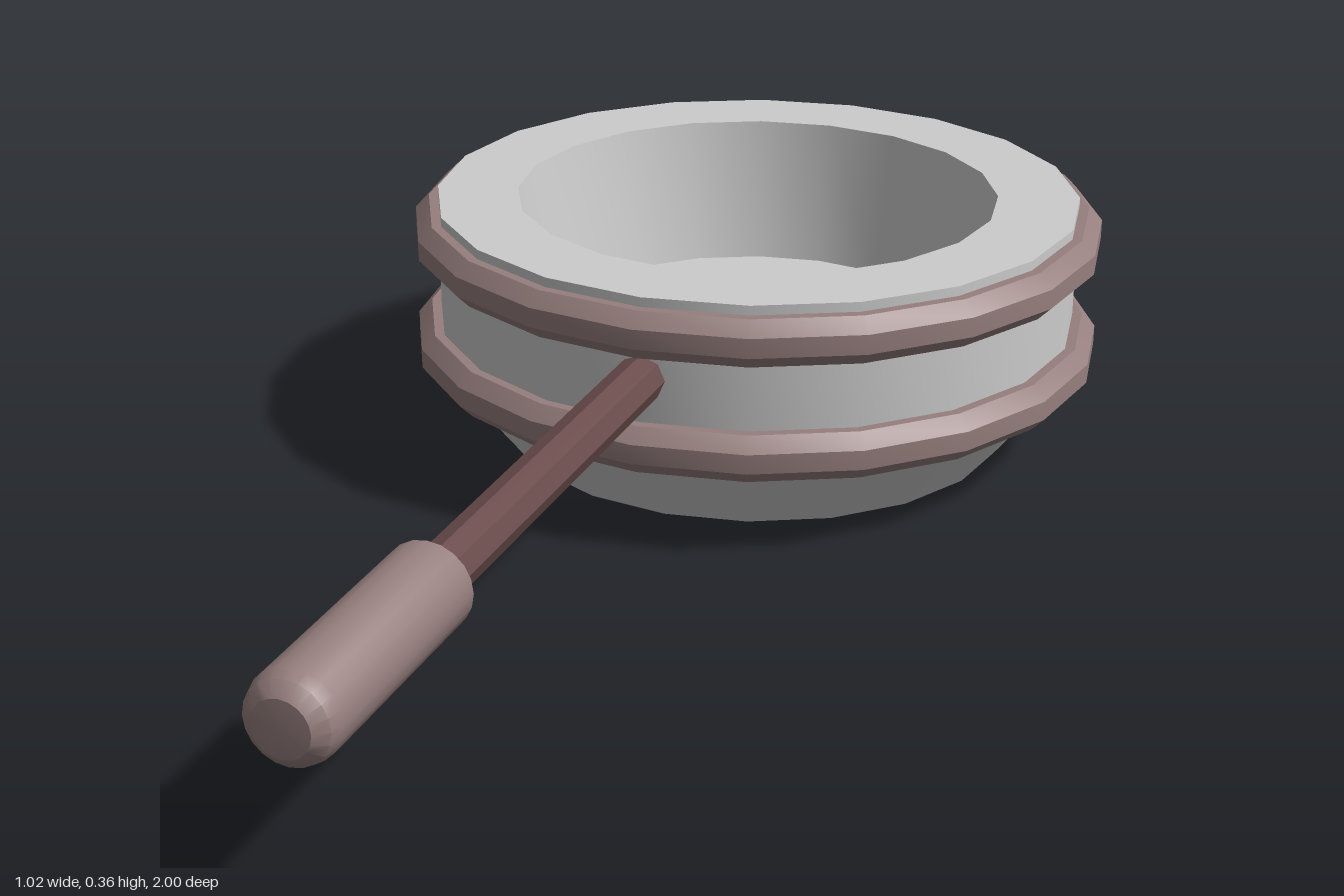
import * as THREE from 'three';
import { toCreasedNormals } from 'three/addons/utils/BufferGeometryUtils.js';

const grey = new THREE.MeshStandardMaterial({ color: 0xcccccc });
const brown = new THREE.MeshStandardMaterial({ color: 0x967f7e });
const darkBrown = new THREE.MeshStandardMaterial({ color: 0x6b4c4c });

const BOWL_Z = -0.49;
const HANDLE_Y = 0.242;

// Revolve [radius, height] pairs, keeping the profile corners sharp
function turned(name, profile, segments, material) {
  const points = profile.map(([r, y]) => new THREE.Vector2(r, y));
  const geometry = toCreasedNormals(new THREE.LatheGeometry(points, segments), 0.6);
  const mesh = new THREE.Mesh(geometry, material);
  mesh.name = name;
  return mesh;
}

export function createModel() {
  const model = new THREE.Group();
  model.name = 'pan';

  // Thick-walled bowl with a recessed underside
  const bowl = turned('bowl', [
    [0, 0.07], [0.3, 0.07], [0.288, 0], [0.38, 0], [0.475, 0.12],
    [0.475, 0.36], [0.355, 0.36], [0.315, 0.145], [0, 0.145],
  ], 20, grey);
  bowl.position.z = BOWL_Z;
  model.add(bowl);

  // Two octagonal-section bands around the bowl
  for (const [name, y] of [['lowerBand', 0.145], ['upperBand', 0.312]]) {
    const section = [];
    for (let i = 0; i <= 8; i++) {
      const a = (i + 0.5) * Math.PI / 4;
      section.push([0.475 + 0.037 * Math.cos(a), 0.037 * Math.sin(a)]);
    }
    const band = turned(name, section, 20, brown);
    band.position.set(0, y, BOWL_Z);
    model.add(band);
  }

  // Handle built along y, then laid along +z
  const handle = new THREE.Group();
  handle.name = 'handle';
  handle.position.y = HANDLE_Y;
  handle.rotation.x = Math.PI / 2;

  const rod = new THREE.Mesh(
    toCreasedNormals(new THREE.CylinderGeometry(0.034, 0.034, 0.73, 8), 0.6), darkBrown);
  rod.name = 'handleRod';
  rod.position.y = 0.305;
  handle.add(rod);

  handle.add(turned('handleGrip', [
    [0, 0.637], [0.05, 0.637], [0.057, 0.645], [0.057, 0.965],
    [0.052, 0.983], [0.036, 0.997], [0, 1],
  ], 20, brown));
  model.add(handle);

  return model;
}
